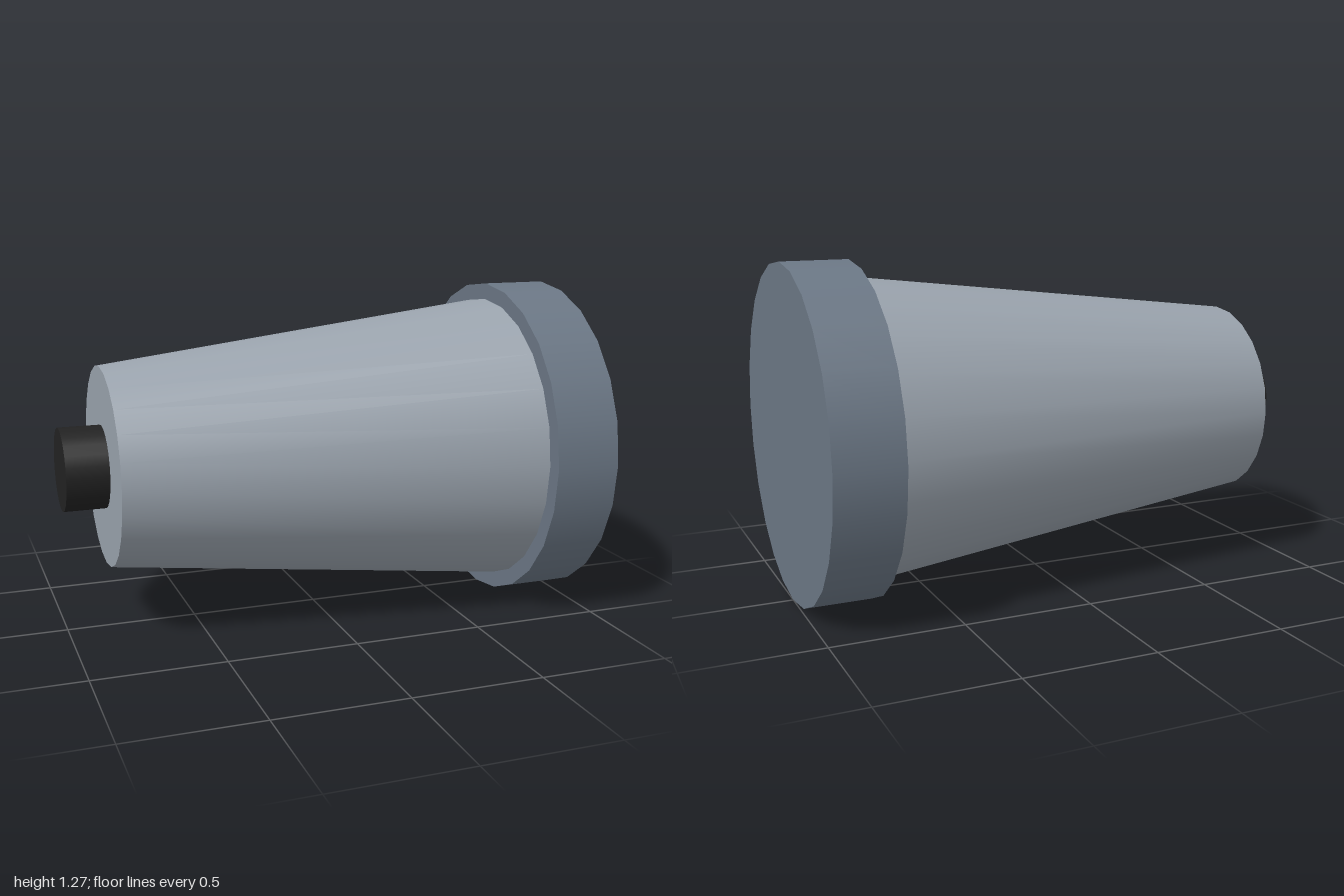
import * as THREE from 'three';

const AXIS_Y = 0.635; // height of the shared axis

// Round section along x, from x0 (radius r0) to x1 (radius r1)
function section(name, x0, r0, x1, r1, color) {
  const geometry = new THREE.CylinderGeometry(r1, r0, x1 - x0, 24);
  geometry.rotateZ(-Math.PI / 2);
  const mesh = new THREE.Mesh(geometry, new THREE.MeshStandardMaterial({ color }));
  mesh.position.set((x0 + x1) / 2, AXIS_Y, 0);
  mesh.name = name;
  return mesh;
}

export function createModel() {
  const group = new THREE.Group();
  group.name = 'taperedHousing';
  group.add(
    section('rearStub', -1, 0.158, -0.84, 0.158, 0x222222),
    section('taperedBody', -0.84, 0.381, 0.745, 0.572, 0x9aa3ad),
    section('frontRim', 0.745, 0.635, 1, 0.635, 0x6b7785),
  );
  return group;
}
